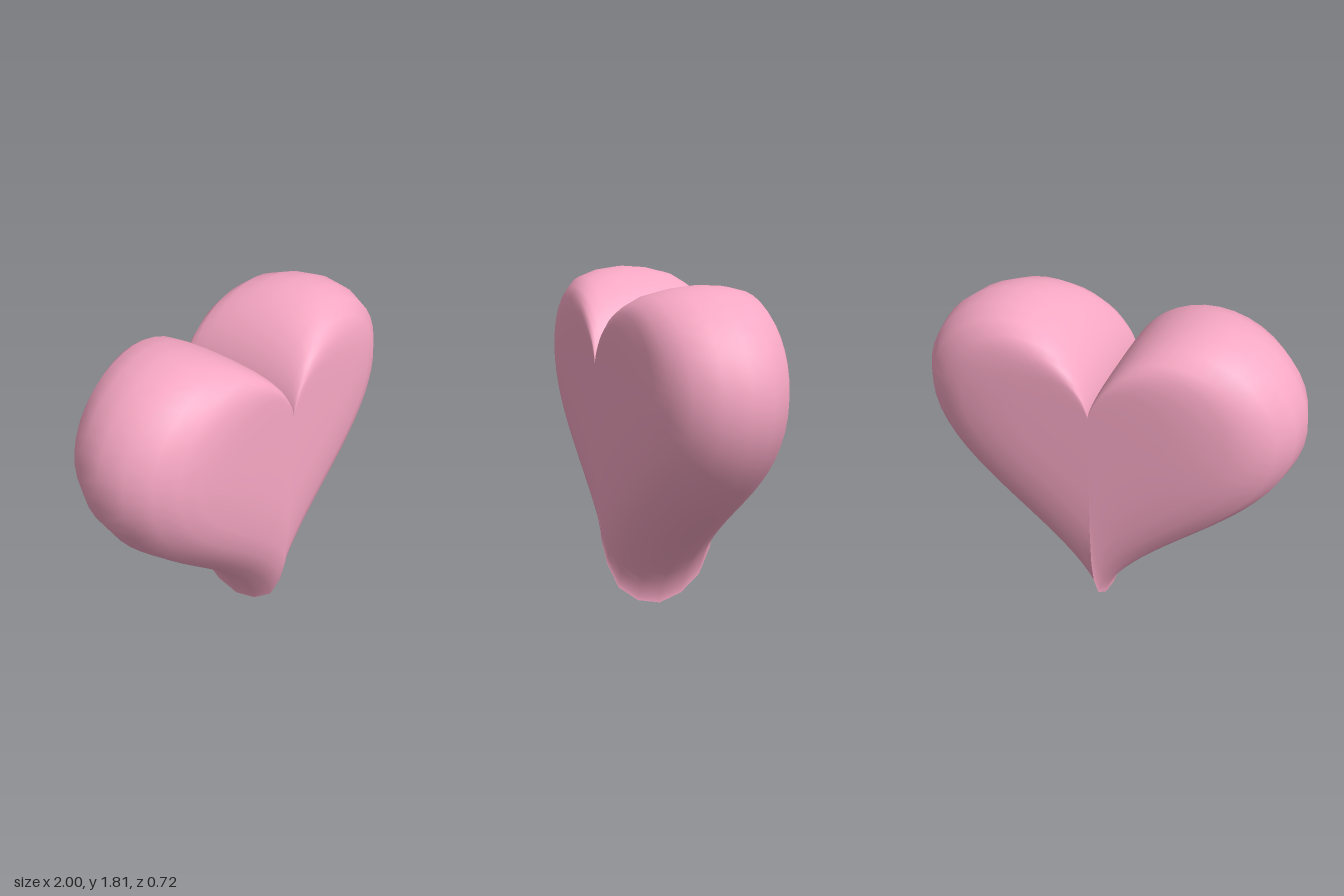
import * as THREE from 'three';

const STEPS = 44; // outline steps per half
const NOTCH = 22 / 16; // height of the notch, the centre every ring shrinks towards

// Half profile: [ring scale, z]
const FRONT = [[0, 0.36], [0.2, 0.36], [0.4, 0.359], [0.54, 0.355], [0.69, 0.34], [0.797, 0.308], [0.904, 0.243], [0.973, 0.13]];
const PROFILE = [...FRONT, [1, 0], ...FRONT.map(([s, z]) => [s, -z]).reverse()];

// Heart outline, t = 0 at the notch and PI at the tip
function outline(t) {
  const x = Math.sin(t) ** 3;
  const y = (13 * Math.cos(t) - 5 * Math.cos(2 * t) - 2 * Math.cos(3 * t) - Math.cos(4 * t) + 17) / 16;
  return [x, y];
}

// One half of the heart; side is +1 (left) or -1 (right)
function halfGeometry(side) {
  const positions = [], index = [];
  const row = STEPS + 1;
  PROFILE.forEach(([s, z], j) => {
    for (let i = 0; i <= STEPS; i++) {
      const [x, y] = outline((Math.PI * i) / STEPS);
      positions.push(side * x * s, NOTCH + (y - NOTCH) * s, z);
      if (j === PROFILE.length - 1 || i === STEPS) continue;
      const a = j * row + i, b = a + 1, c = b + row, d = a + row;
      if (side > 0) index.push(a, b, c, a, c, d);
      else index.push(a, c, b, a, d, c);
    }
  });
  const geometry = new THREE.BufferGeometry();
  geometry.setAttribute('position', new THREE.Float32BufferAttribute(positions, 3));
  geometry.setIndex(index);
  geometry.computeVertexNormals();
  // The points collapsed on the flat face centre all face straight out
  const n = geometry.attributes.normal;
  const last = (PROFILE.length - 1) * row;
  for (let i = 0; i < row; i++) {
    n.setXYZ(i, 0, 0, 1);
    n.setXYZ(last + i, 0, 0, -1);
  }
  return geometry;
}

export function createModel() {
  const group = new THREE.Group();
  group.name = 'heart';
  const material = new THREE.MeshStandardMaterial({ color: 0xf8a8c4 });
  for (const [name, side] of [['leftHalf', 1], ['rightHalf', -1]]) {
    const mesh = new THREE.Mesh(halfGeometry(side), material);
    mesh.name = name;
    group.add(mesh);
  }
  return group;
}
